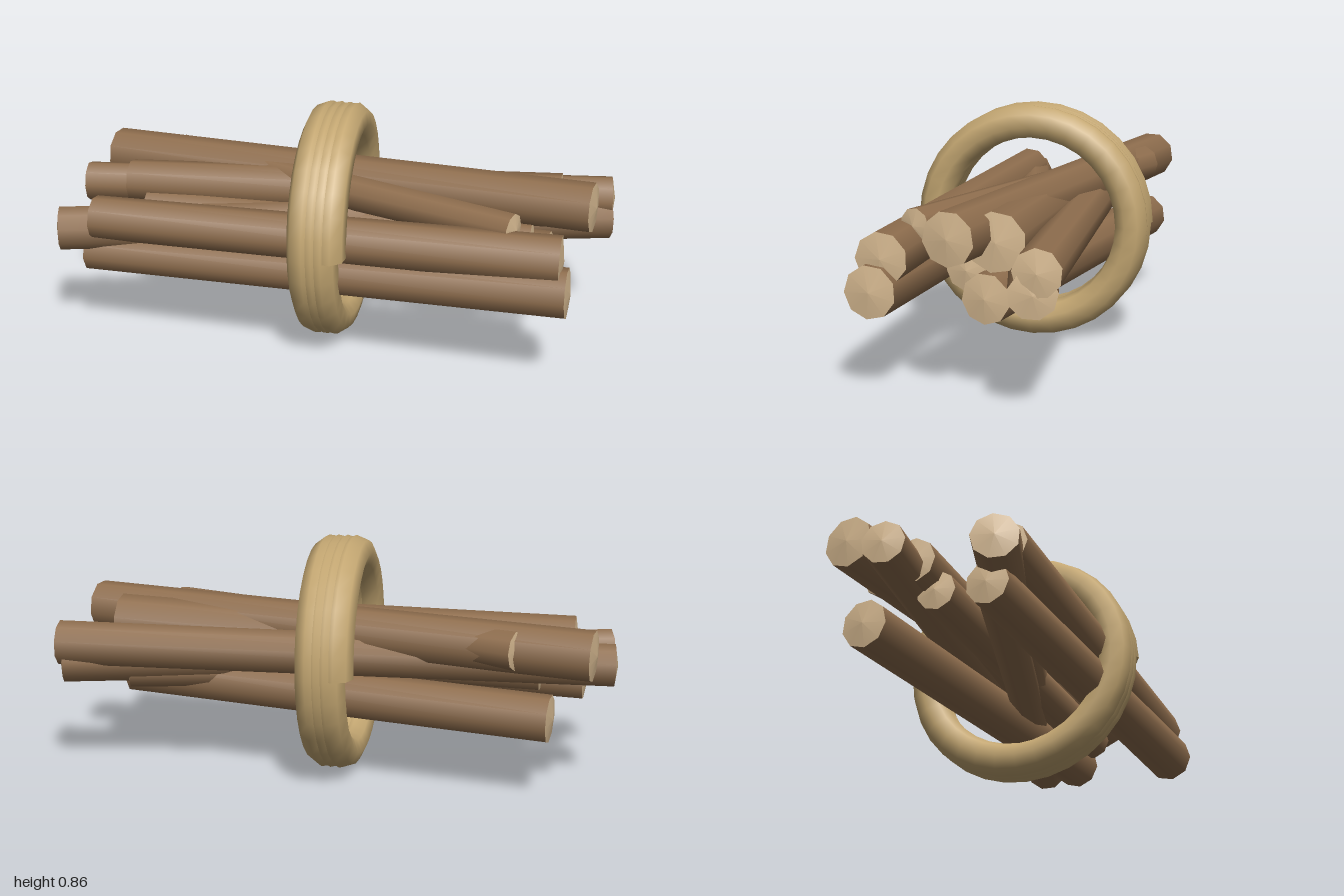
import * as THREE from 'three';

const bark = new THREE.MeshStandardMaterial({ color: 0x8f6e4e });
const cutWood = new THREE.MeshStandardMaterial({ color: 0xd4b78f });
const ropeMat = new THREE.MeshStandardMaterial({ color: 0xc4a772 });
const SIDES = 9;

// A straight log between two points, with a pale, slightly domed cut at each end
function makeLog(a, b, rA, rB) {
  const log = new THREE.Group();
  log.name = 'log';
  const start = new THREE.Vector3(...a), end = new THREE.Vector3(...b);
  const dir = end.clone().sub(start), len = dir.length();
  const shaft = new THREE.Mesh(new THREE.CylinderGeometry(rB, rA, len, SIDES, 1, true), bark);
  shaft.name = 'bark';
  log.add(shaft);
  for (const [s, r] of [[1, rB], [-1, rA]]) {
    const cut = new THREE.Mesh(new THREE.ConeGeometry(r, 0.012, SIDES, 1, true), cutWood);
    cut.name = 'cutEnd';
    cut.position.y = s * (len / 2 + 0.006);
    if (s < 0) cut.rotation.z = Math.PI;
    // turn the lower cap so its corners meet the shaft
    if (s < 0) cut.rotation.y = Math.PI;
    if (s < 0) cut.rotation.set(Math.PI, 0, 0), cut.rotateY(Math.PI);
    log.add(cut);
  }
  log.position.copy(start).add(end).multiplyScalar(0.5);
  log.quaternion.setFromUnitVectors(new THREE.Vector3(0, 1, 0), dir.normalize());
  return log;
}

// Rope coil: starts at the back on the right, goes over the top, ends at the front on the left
class Coil extends THREE.Curve {
  getPoint(t, target = new THREE.Vector3()) {
    const angle = Math.PI - t * 3.5 * 2 * Math.PI;
    return target.set(-0.05 + 0.1 * t, 0.43 + 0.366 * Math.sin(angle), 0.366 * Math.cos(angle));
  }
}

export function createModel() {
  const model = new THREE.Group();
  model.name = 'logBundle';

  // right end, left end, right radius, left radius
  const logs = [
    [[-0.92, 0.525, -0.26], [0.93, 0.56, 0.03], 0.09, 0.09],
    [[-0.81, 0.48, -0.08], [0.81, 0.53, -0.09], 0.08, 0.1],
    [[-0.66, 0.535, -0.27], [0.67, 0.535, 0.23], 0.07, 0.06],
    [[-0.84, 0.46, 0.25], [0.84, 0.46, 0.285], 0.08, 0.09],
    [[-0.88, 0.31, 0.21], [0.87, 0.355, 0.315], 0.075, 0.09],
    [[-0.73, 0.4, -0.03], [0.72, 0.41, 0.035], 0.07, 0.07],
    [[-0.78, 0.295, -0.26], [0.78, 0.335, -0.045], 0.085, 0.085],
    [[-0.99, 0.455, -0.1], [0.985, 0.485, -0.27], 0.075, 0.08],
    [[-0.97, 0.415, 0.27], [0.98, 0.415, -0.255], 0.08, 0.08],
    [[-0.8, 0.36, 0.2], [0.75, 0.37, -0.19], 0.07, 0.06],
  ];
  for (const l of logs) model.add(makeLog(...l));

  const coil = new Coil();
  const rope = new THREE.Mesh(new THREE.TubeGeometry(coil, 112, 0.062, 8), ropeMat);
  rope.name = 'ropeCoil';
  model.add(rope);

  // flat rope ends
  for (const t of [0, 1]) {
    const cap = new THREE.Mesh(new THREE.CircleGeometry(0.062, 8), ropeMat);
    cap.name = 'ropeEnd';
    cap.position.copy(coil.getPoint(t));
    const out = coil.getTangent(t).multiplyScalar(t ? 1 : -1);
    cap.quaternion.setFromUnitVectors(new THREE.Vector3(0, 0, 1), out);
    model.add(cap);
  }
  return model;
}
